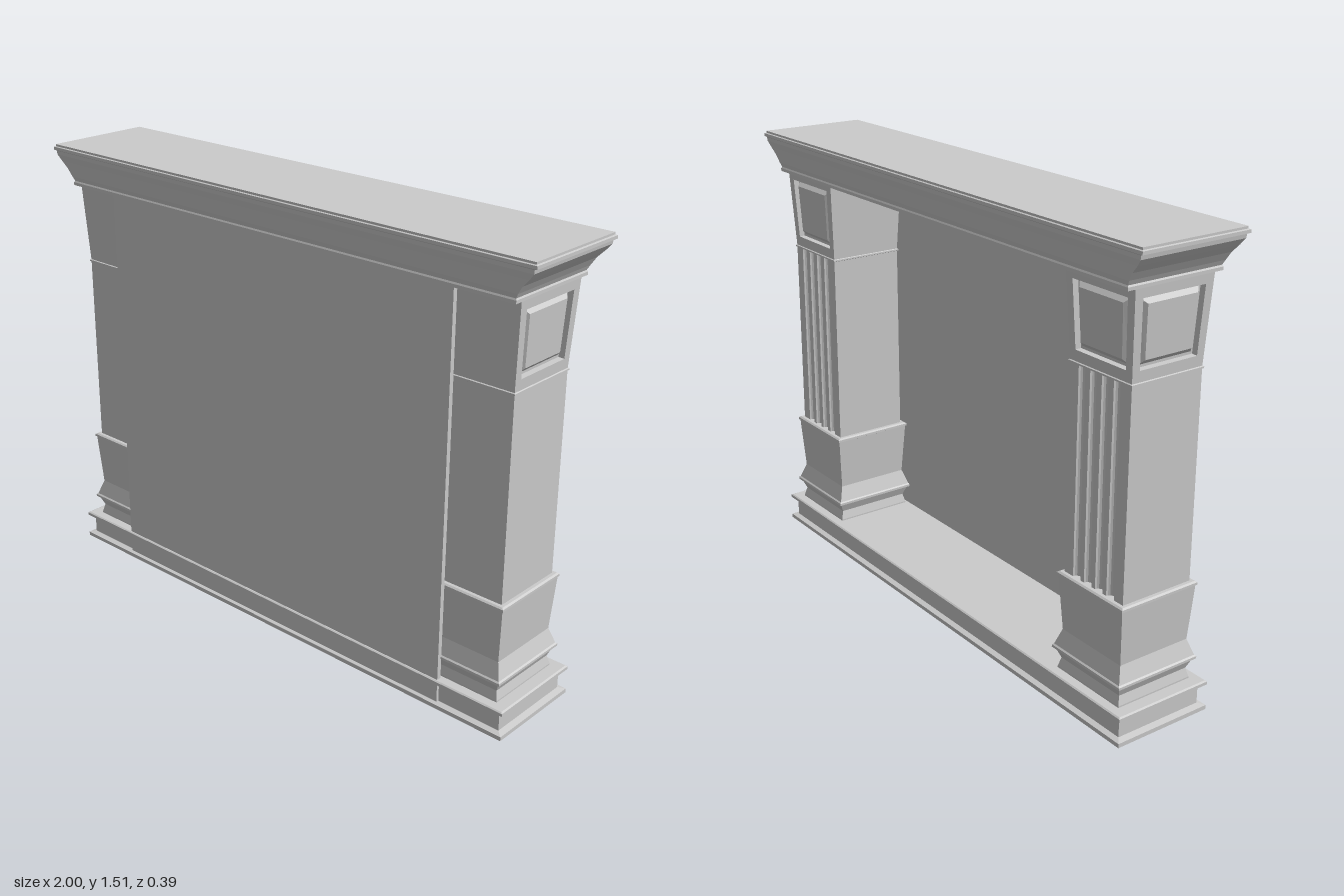
import * as THREE from 'three';

const material = new THREE.MeshStandardMaterial({ color: 0xcccccc });

function part(name, geometry) {
  const mesh = new THREE.Mesh(geometry, material);
  mesh.name = name;
  return mesh;
}

// Sharp-edged geometry from a list of four-cornered faces
function fromQuads(quads) {
  const points = quads.flatMap(([a, b, c, d]) => [a, b, c, a, c, d]);
  const geometry = new THREE.BufferGeometry().setFromPoints(points);
  geometry.computeVertexNormals();
  return geometry;
}

const ring = ([y, hx, hz = hx]) => [[-1, 1], [1, 1], [1, -1], [-1, -1]]
  .map(([sx, sz]) => new THREE.Vector3(sx * hx, y, sz * hz));

// Quads joining two four-cornered loops
const band = (a, b) => a.map((p, i) => {
  const j = (i + 1) % 4;
  return [p, a[j], b[j], b[i]];
});

// Rectangular moulding: profile rows are [y, half width, half depth]
function moulding(profile) {
  const rings = profile.map(ring);
  const quads = [[...rings[0]].reverse(), rings[rings.length - 1]];
  for (let i = 1; i < rings.length; i++) quads.push(...band(rings[i - 1], rings[i]));
  return fromQuads(quads);
}

// Face with a sunk border and a bevelled field rising back to the surface
function panelledFace(corners) {
  const [a, b, c, d] = corners;
  const normal = b.clone().sub(a).cross(d.clone().sub(a)).normalize();
  const loop = (u, v0, v1, depth) => [[u, v0], [1 - u, v0], [1 - u, v1], [u, v1]].map(([s, t]) =>
    a.clone().lerp(b, s).lerp(d.clone().lerp(c, s), t).addScaledVector(normal, -depth));
  const loops = [
    corners,
    loop(0.1, 0.13, 0.875, 0),
    loop(0.1, 0.13, 0.875, 0.02),
    loop(0.125, 0.16, 0.85, 0.02),
    loop(0.18, 0.22, 0.8, 0.004),
  ];
  const quads = [loops[4]];
  for (let i = 1; i < loops.length; i++) quads.push(...band(loops[i - 1], loops[i]));
  return quads;
}

// Tapered capital, panelled on the back and on the outer side
function capital(side) {
  const bottom = ring([1.105, 0.131]);
  const top = ring([1.385, 0.145]);
  const panelled = [2, side > 0 ? 1 : 3];
  return fromQuads(band(bottom, top).flatMap((q, i) => panelled.includes(i) ? panelledFace(q) : [q]));
}

// Square shaft with round flutes along the back
function shaft() {
  const h = 0.131, r = 0.017, pitch = 0.05;
  const points = [[-h, -h], [h, -h], [h, h]];
  for (let k = 1.5; k >= -1.5; k--) {
    for (let i = 0; i <= 8; i++) {
      const angle = (i / 8) * Math.PI;
      points.push([k * pitch + r * Math.cos(angle), h - r * Math.sin(angle)]);
    }
  }
  points.push([-h, h]);
  const shape = new THREE.Shape(points.map(([x, y]) => new THREE.Vector2(x, y)));
  const geometry = new THREE.ExtrudeGeometry(shape, { depth: 0.68, bevelEnabled: false });
  return geometry.rotateX(-Math.PI / 2).translate(0, 0.425, 0);
}

function pillar(side) {
  const group = new THREE.Group();
  group.name = side > 0 ? 'leftPillar' : 'rightPillar';
  group.position.x = side * 0.78;
  group.add(
    part('pillarFoot', moulding([
      [0.095, 0.141], [0.105, 0.141], [0.135, 0.133], [0.168, 0.147], [0.17, 0.155],
      [0.178, 0.155], [0.182, 0.15], [0.235, 0.132], [0.418, 0.144],
      [0.42, 0.148], [0.428, 0.148], [0.432, 0.142],
    ])),
    part('flutedShaft', shaft()),
    part('neckRing', moulding([[1.098, 0.131], [1.1, 0.135], [1.105, 0.135], [1.107, 0.131]])),
    part('capital', capital(side)),
  );
  return group;
}

export function createModel() {
  const model = new THREE.Group();
  model.name = 'mantelSurround';

  // Plinth with a lip above and below
  model.add(part('plinth', moulding([
    [0, 0.966, 0.176], [0.014, 0.966, 0.176], [0.019, 0.945, 0.158],
    [0.083, 0.945, 0.158], [0.087, 0.966, 0.176], [0.097, 0.966, 0.176], [0.1, 0.96, 0.171],
  ])));

  // Pillars
  model.add(pillar(1), pillar(-1));

  // Plain board closing the front
  const board = part('frontBoard', new THREE.BoxGeometry(1.44, 1.362, 0.016));
  board.position.set(-0.005, 0.701, 0.16);
  model.add(board);

  // Flared cornice and top shelf
  model.add(part('cornice', moulding([
    [1.38, 0.927, 0.174], [1.39, 0.927, 0.174], [1.395, 0.924, 0.171], [1.41, 0.932, 0.176],
    [1.435, 0.948, 0.18], [1.46, 0.972, 0.185], [1.48, 0.988, 0.19], [1.493, 0.99, 0.191],
    [1.496, 1, 0.195], [1.506, 1, 0.195], [1.508, 0.994, 0.19], [1.515, 0.994, 0.19],
  ])));

  return model;
}
